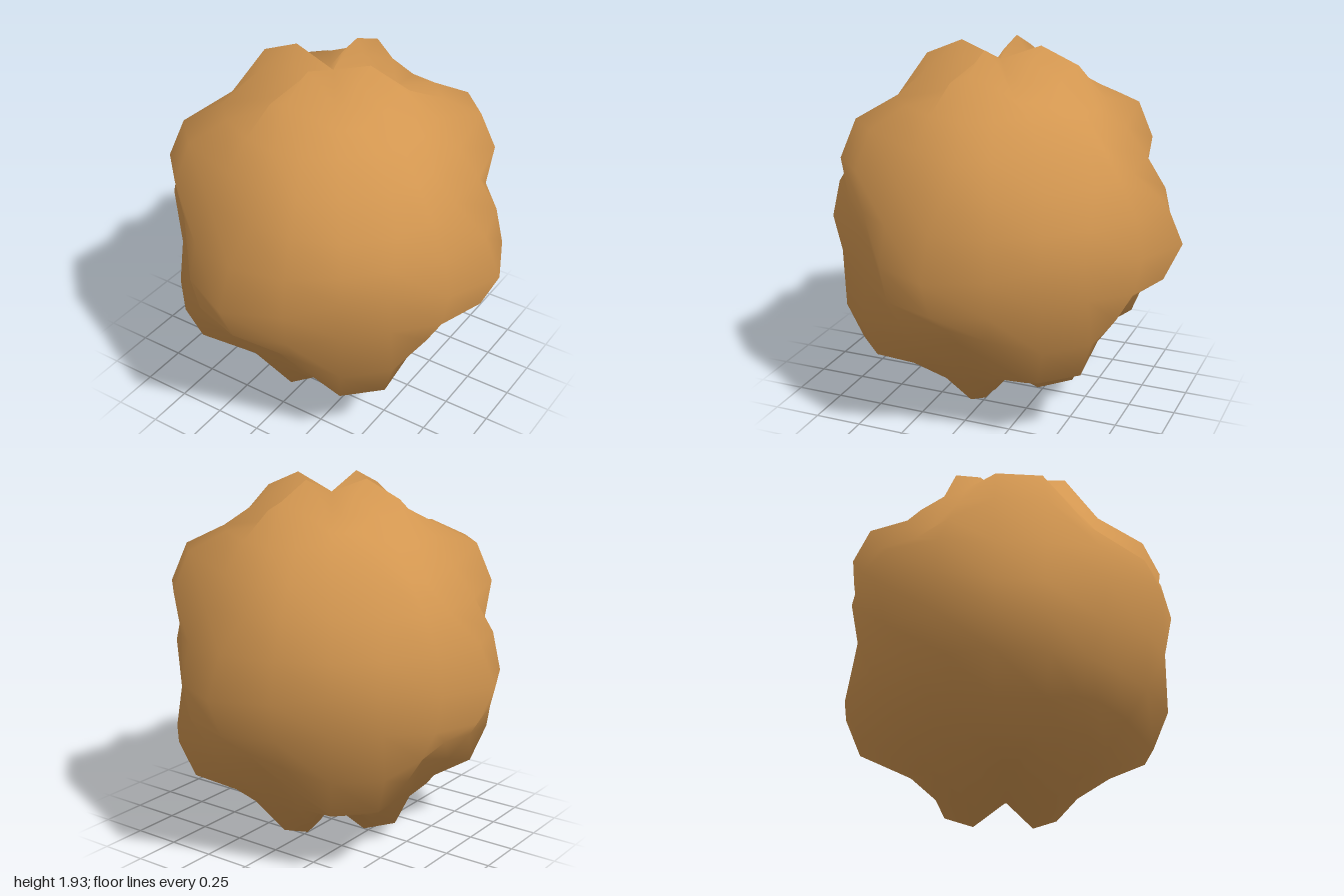
import * as THREE from 'three';

export function createModel() {
  const model = new THREE.Group();
  const tan = new THREE.MeshStandardMaterial({ color: 0xd29650 });
  tan.name = 'tan';

  // Sphere pushed in and out by a regular wave; it keeps its round, smooth normals
  const amount = 0.14;
  const base = 1 / (1 + amount);
  const geometry = new THREE.SphereGeometry(1, 20, 14);
  const pos = geometry.attributes.position;
  const v = new THREE.Vector3();
  let top = 0;
  for (let i = 0; i < pos.count; i++) {
    v.fromBufferAttribute(pos, i);
    const polar = Math.acos(THREE.MathUtils.clamp(v.y, -1, 1));
    const around = Math.atan2(v.z, v.x);
    v.multiplyScalar(base * (1 + amount * Math.sin(5 * polar) * Math.cos(4 * around)));
    pos.setXYZ(i, v.x, v.y, v.z);
    top = Math.max(top, v.y);
  }
  // Stand it on the ground
  geometry.translate(0, top, 0);

  const ball = new THREE.Mesh(geometry, tan);
  ball.name = 'bumpyBall';
  model.add(ball);
  return model;
}
